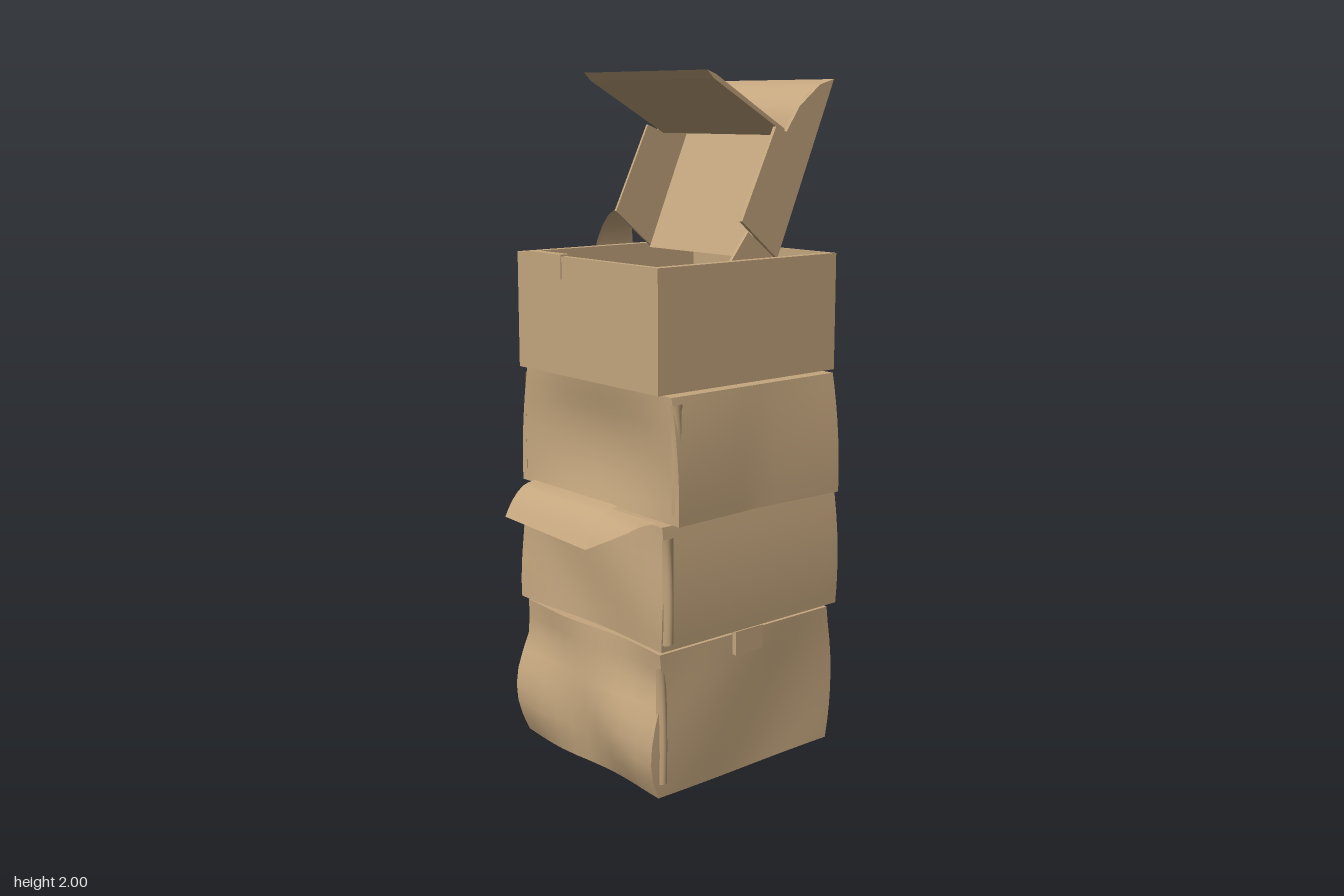
import * as THREE from 'three';

const cardboard = new THREE.MeshStandardMaterial({ color: 0xC4A67E, side: THREE.DoubleSide });
cardboard.name = 'cardboard';

function part(name, geometry) {
  const mesh = new THREE.Mesh(geometry, cardboard);
  mesh.name = name;
  return mesh;
}

// Sheet of card given by a rule (u, v) -> [x, y, z]
function sheet(rule, nu = 6, nv = 6) {
  const g = new THREE.PlaneGeometry(1, 1, nu, nv);
  const p = g.attributes.position;
  for (let i = 0; i < p.count; i++) p.setXYZ(i, ...rule(p.getX(i) + 0.5, p.getY(i) + 0.5));
  g.computeVertexNormals();
  return g;
}

// Flat card seen from the side: points are [z, y], extruded over x0..x1
function sidePanel(points, x0, x1) {
  const shape = new THREE.Shape(points.map(([z, y]) => new THREE.Vector2(z, y)));
  const g = new THREE.ExtrudeGeometry(shape, { depth: x1 - x0, bevelEnabled: false });
  return g.rotateY(-Math.PI / 2).translate(x1, 0, 0);
}

// Plain block from its bounds
function block(x0, x1, y0, y1, z0, z1) {
  return new THREE.BoxGeometry(x1 - x0, y1 - y0, z1 - z0)
    .translate((x0 + x1) / 2, (y0 + y1) / 2, (z0 + z1) / 2);
}

// Crumpled closed box: the faces are moved by a rule, the edges stay sharp
function crumpled([x0, x1, y0, y1, z0, z1], rule) {
  const g = new THREE.BoxGeometry(2, 2, 2, 10, 8, 10);
  const p = g.attributes.position;
  const mix = (a, b, t) => a + (b - a) * (t + 1) / 2;
  for (let i = 0; i < p.count; i++) {
    const u = p.getX(i), v = p.getY(i), w = p.getZ(i);
    const [dx, dy, dz] = rule(u, v, w);
    p.setXYZ(i, mix(x0, x1, u) + dx, mix(y0, y1, v) + dy, mix(z0, z1, w) + dz);
  }
  g.computeVertexNormals();
  return g;
}

const hump = (t, c, r) => Math.max(0, 1 - ((t - c) / r) ** 2);
const front = (w) => Math.max(0, w);
const back = (w) => Math.max(0, -w);

// Smooth curve through [z, y] points, swept along x
function swept(points, x0, x1) {
  const curve = new THREE.CatmullRomCurve3(points.map(([z, y]) => new THREE.Vector3(0, y, z)));
  return sheet((u, v) => {
    const c = curve.getPoint(v);
    return [x0 + (x1 - x0) * u, c.y, c.z];
  }, 4, 12);
}

export function createModel() {
  const model = new THREE.Group();
  model.name = 'boxStack';

  // Bottom box: swollen lower front and bulging back
  model.add(part('bottomBox', crumpled([-0.325, 0.315, 0, 0.42, -0.345, 0.305], (u, v, w) => [
    0.01 * u * hump(v, -0.1, 1) * Math.sin(3 * w),
    0,
    front(w) * 0.06 * hump(v, -0.3, 0.75) * (0.45 + 0.5 * Math.abs(u) * hump(u, 0, 1.2))
      - back(w) * 0.025 * hump(v, -0.1, 1) + front(w) * 0.008 * Math.sin(4 * u + 3 * v),
  ])));

  // Second box: back bows outward, sides slightly swollen
  model.add(part('secondBox', crumpled([-0.33, 0.31, 0.43, 0.78, -0.37, 0.305], (u, v, w) => [
    (u > 0 ? 0.018 : -0.012) * Math.abs(u) * hump(v, -0.4, 1.4),
    0,
    -back(w) * 0.03 * hump(u, 0, 1.1) * hump(v, 0, 1.3) + front(w) * 0.008 * Math.sin(3 * u + 2 * v),
  ])));

  // Third box: widest near its base, dented front
  model.add(part('thirdBox', crumpled([-0.33, 0.335, 0.79, 1.14, -0.33, 0.285], (u, v, w) => [
    0.032 * u * hump(v, -0.75, 1.75) * (0.5 + 0.5 * Math.abs(w)),
    0,
    -front(w) * 0.035 * hump(u, 0, 1) * hump(v, -0.1, 1),
  ])));

  // Open top box: walls as one frame, and a floor
  const top = new THREE.Group();
  top.name = 'openBox';
  const frame = new THREE.Shape([[-0.325, -0.315], [0.315, -0.315], [0.315, 0.355], [-0.325, 0.355]]
    .map(([x, y]) => new THREE.Vector2(x, y)));
  frame.holes.push(new THREE.Path([[-0.297, -0.295], [-0.297, 0.343], [0.287, 0.343], [0.287, -0.295]]
    .map(([x, y]) => new THREE.Vector2(x, y))));
  const walls = new THREE.ExtrudeGeometry(frame, { depth: 0.34, bevelEnabled: false });
  top.add(part('openBoxWalls', walls.rotateX(-Math.PI / 2).translate(0, 1.145, 0)));
  top.add(part('openBoxFloor', block(-0.32, 0.31, 1.145, 1.165, -0.35, 0.31)));
  top.add(part('rimTab', block(-0.28, -0.11, 1.42, 1.49, 0.285, 0.318)));
  model.add(top);

  // Lid: leaning panel, rolled upper wall, tongue and two cheeks
  const lid = new THREE.Group();
  lid.name = 'lid';
  const xl = -0.265, xr = 0.28;
  lid.add(part('lidPanel', swept([[-0.135, 1.475], [-0.245, 1.727], [-0.355, 1.975]], xl, xr)));
  lid.add(part('lidFrontWall', swept([[-0.355, 1.975], [-0.295, 1.955], [-0.225, 1.9], [-0.19, 1.825]], xl, xr)));
  lid.add(part('lidTongue', sidePanel([[-0.19, 1.82], [0.085, 1.972], [0.11, 1.995], [0.08, 1.985], [-0.19, 1.832]], xl, 0.275)));
  const cheek = [[-0.14, 1.48], [-0.355, 1.975], [-0.3, 1.96], [-0.22, 1.9], [-0.17, 1.83], [-0.13, 1.845], [-0.005, 1.59]];
  lid.add(part('lidCheekRight', sidePanel(cheek, xl - 0.008, xl)));
  lid.add(part('lidCheekLeft', sidePanel(cheek, xr, xr + 0.012)));
  // Torn ears hanging from the lower lid corners
  lid.add(part('lidEarRight', sheet((u, v) => [
    -0.268 - 0.07 * Math.sin(v * Math.PI / 2),
    1.6 - 0.22 * v * v,
    -0.05 + (u - 0.5) * (0.05 + 0.13 * v),
  ])));
  lid.add(part('lidEarLeft', sidePanel([[0.03, 1.48], [-0.035, 1.56], [-0.14, 1.48]], 0.275, 0.285)));
  model.add(lid);

  // Loose flap drooping from the second box, with a twisted end
  const droop = new THREE.CatmullRomCurve3([[0.29, 0.785], [0.335, 0.775], [0.375, 0.74], [0.4, 0.705]]
    .map(([z, y]) => new THREE.Vector3(0, y, z)));
  for (const [i, lift] of [0, 0.012].entries()) {
    model.add(part(i ? 'frontFlapOuter' : 'frontFlapInner', sheet((u, v) => {
      const c = droop.getPoint(v);
      return [-0.305 + 0.405 * u + 0.012 * v * (1 - u), c.y + lift - 0.015 * u * v, c.z - 0.5 * lift];
    })));
  }
  model.add(part('frontFlapTwist', sheet((u, v) => {
    const c = droop.getPoint(v * (1 - 0.55 * u));
    return [0.1 + 0.18 * u - 0.03 * u * v, c.y - 0.015 * v * (1 - u), c.z + 0.015 * u * v];
  })));

  // Tuck tab on the bottom box
  model.add(part('sideTab', block(0.305, 0.33, 0.36, 0.43, -0.065, 0.04)));

  // Frayed corner folds: [side, x, y0, y1, z]
  const folds = [[1, 0.325, 0.45, 0.75, 0.29], [-1, 0.335, 0.45, 0.74, 0.285],
    [1, 0.34, 0.82, 1.12, 0.27], [-1, 0.34, 0.82, 1.12, 0.265],
    [-1, 0.34, 0.83, 1.1, -0.31], [1, 0.31, 0.04, 0.38, 0.3]];
  for (const [side, x, y0, y1, z] of folds) {
    model.add(part('cornerFold', sheet((u, v) => [
      side * (x + 0.018 * Math.sin(Math.PI * u) * hump(v, 0.35, 0.75)),
      y0 + (y1 - y0) * v,
      z + (u - 0.5) * 0.04,
    ])));
  }
  return model;
}
